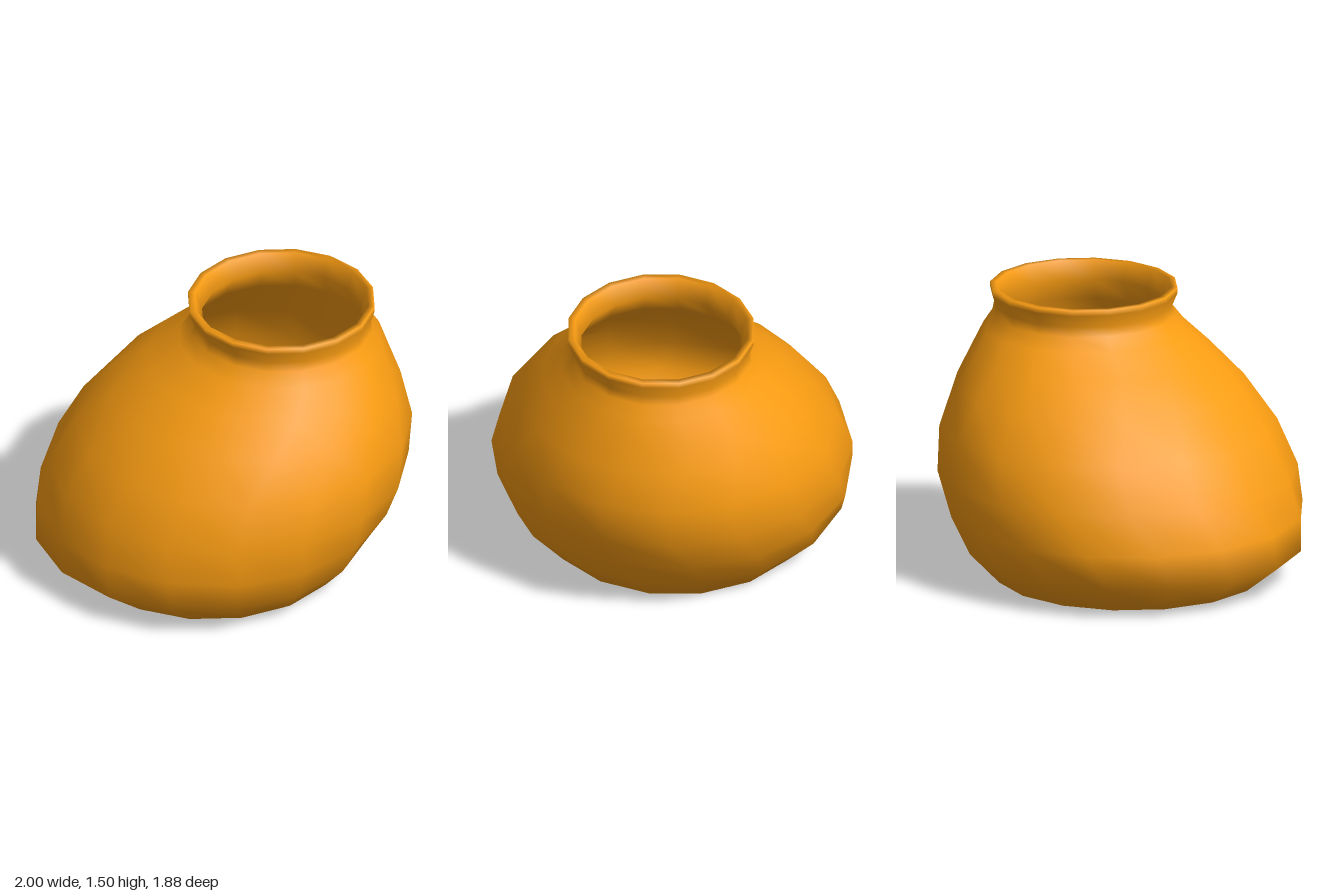
import * as THREE from 'three';

const SIDES = 16;

// Horizontal rings: [height, centre x, radius, twist in fractions of a side]
const OUTER = [
  [0, -0.06, 0, 0],
  [0, -0.06, 0.715, 0],
  [0.17, -0.105, 0.895, 0.1],
  [0.35, -0.04, 0.945, 0.25],
  [0.56, 0.04, 0.957, 0.5],
  [0.79, 0.12, 0.898, 0.5],
  [1.0, 0.19, 0.775, 0.25],
  [1.16, 0.26, 0.645, 0],
  [1.28, 0.323, 0.54, 0],
  [1.35, 0.33, 0.488, 0],
  [1.4, 0.335, 0.475, 0],
  [1.47, 0.33, 0.5, 0],
  [1.5, 0.33, 0.5, 0],
];
const INNER = [
  [1.5, 0.33, 0.465, 0],
  [1.4, 0.335, 0.43, 0],
  [1.28, 0.323, 0.49, 0],
  [1.0, 0.19, 0.72, 0.25],
  [0.79, 0.12, 0.84, 0.5],
  [0.56, 0.04, 0.89, 0.5],
  [0.35, -0.04, 0.87, 0.25],
  [0.19, -0.07, 0.73, 0.1],
  [0.08, -0.02, 0.37, 0],
  [0.08, -0.02, 0, 0],
];

// Skin a stack of rings with shared vertices, so the shading stays smooth
function skinRings(rings) {
  const positions = [], indices = [];
  rings.forEach(([y, cx, r, twist], i) => {
    for (let j = 0; j < SIDES; j++) {
      const a = ((j + twist) / SIDES) * Math.PI * 2;
      positions.push(cx + r * Math.cos(a), y, r * Math.sin(a));
      if (i === rings.length - 1) continue;
      const k = (j + 1) % SIDES, lo = i * SIDES, hi = lo + SIDES;
      if (rings[i + 1][2] > 0) indices.push(lo + j, hi + j, hi + k);
      if (r > 0) indices.push(lo + j, hi + k, lo + k);
    }
  });
  const geometry = new THREE.BufferGeometry();
  geometry.setAttribute('position', new THREE.Float32BufferAttribute(positions, 3));
  geometry.setIndex(indices);
  geometry.computeVertexNormals();
  return geometry;
}

export function createModel() {
  const model = new THREE.Group();
  model.name = 'leaningPot';
  // Outer wall, flared lip and hollow inside form one continuous skin
  const pot = new THREE.Mesh(
    skinRings([...OUTER, ...INNER]),
    new THREE.MeshStandardMaterial({ color: 0xf99c12 })
  );
  pot.name = 'potBody';
  model.add(pot);
  return model;
}
